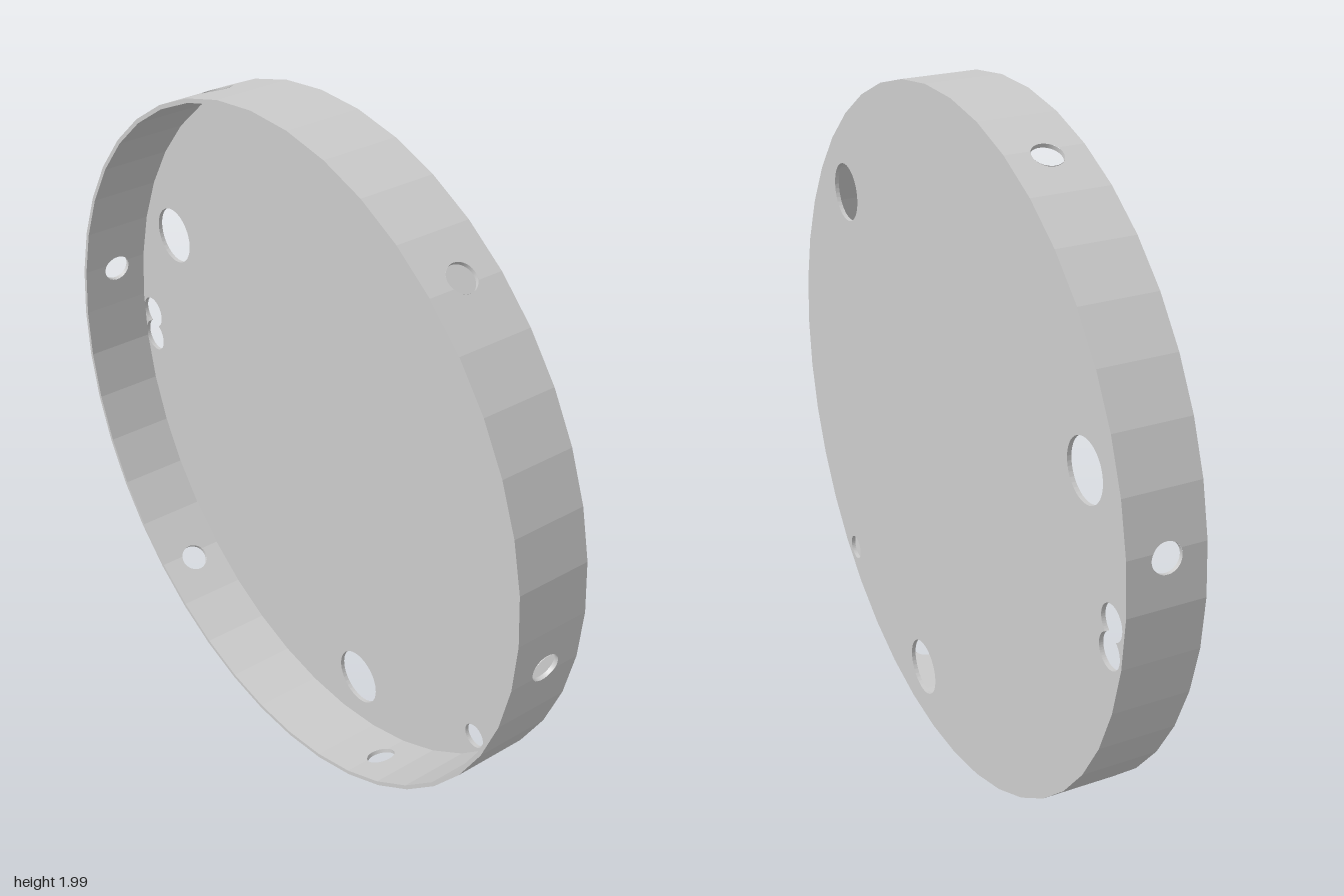
import * as THREE from 'three';
import { mergeGeometries } from 'three/addons/utils/BufferGeometryUtils.js';

const SIDES = 42;                       // facets of the round outline
const STEP = (Math.PI * 2) / SIDES;
const APOTHEM = Math.cos(STEP / 2);
const W = 2 * Math.sin(STEP / 2);       // facet width
const T = 0.012;                        // sheet thickness
const D = 0.11;                         // half depth
const R = 0.042;                        // rim hole radius
const HOLE_ANGLE = THREE.MathUtils.degToRad(52.5);

function circle(x, y, r) {
  return new THREE.Path().absarc(x, y, r, 0, Math.PI * 2, false);
}

// Outline of two overlapping circles of equal radius
function doubleCircle(x1, y1, x2, y2, r) {
  const dir = Math.atan2(y2 - y1, x2 - x1);
  const h = Math.acos(Math.hypot(x2 - x1, y2 - y1) / 2 / r);
  const p = new THREE.Path();
  p.absarc(x1, y1, r, dir + h, dir + Math.PI * 2 - h, false);
  p.absarc(x2, y2, r, dir + Math.PI + h, dir + Math.PI * 3 - h, false);
  return p;
}

// One flat rim facet; a rim hole straddles the edge between facets 5 and 6 of each seven
function facetShape(k) {
  const lo = -D + T, hi = D, w = W / 2;
  const off = APOTHEM * (Math.tan(HOLE_ANGLE - 6.5 * STEP) + Math.tan(STEP / 2));
  const a = Math.acos(off / R);
  const s = new THREE.Shape();
  s.moveTo(-w, lo);
  s.lineTo(w, lo);
  if (k === 5) s.absarc(w + off, 0, R, Math.PI + a, Math.PI - a, true);
  s.lineTo(w, hi);
  s.lineTo(-w, hi);
  if (k === 6) s.absarc(-w + off, 0, R, Math.PI - a, a - Math.PI, true);
  return s;
}

// Stand the facet up at its angle; scale < 1 gives the inner skin, facing the axis
function facetGeometry(i, scale) {
  const g = new THREE.ShapeGeometry(facetShape(i % 7), 20);
  const p = g.attributes.position;
  for (let n = 0; n < p.count; n++) {
    p.setXYZ(n, APOTHEM * scale, p.getX(n) * scale, p.getY(n));
  }
  if (scale < 1) g.index.array.reverse();
  g.rotateZ((i + 0.5) * STEP);
  const flat = g.toNonIndexed();
  flat.computeVertexNormals();
  return flat;
}

export function createModel() {
  const group = new THREE.Group();
  const mat = new THREE.MeshStandardMaterial({ color: 0xcccccc });
  const thin = new THREE.MeshStandardMaterial({ color: 0xcccccc, side: THREE.DoubleSide });
  const add = (name, geometry, material = mat) => {
    const m = new THREE.Mesh(geometry, material);
    m.name = name;
    group.add(m);
    return m;
  };

  // Back plate with its through holes
  const disc = new THREE.Shape();
  for (let i = 0; i < SIDES; i++) {
    const x = Math.cos(i * STEP), y = Math.sin(i * STEP);
    i ? disc.lineTo(x, y) : disc.moveTo(x, y);
  }
  disc.holes.push(
    circle(0.64, 0.54, 0.085),
    circle(-0.79, 0.29, 0.085),
    circle(0.143, -0.823, 0.085),
    circle(0.66, -0.67, 0.037),
    doubleCircle(-0.937, -0.045, -0.932, -0.128, 0.049),
  );
  const plate = new THREE.ExtrudeGeometry(disc, { depth: T, bevelEnabled: false, curveSegments: 20 });
  add('backPlate', plate).position.z = -D;

  // Rim wall: outer and inner skins
  const skins = [];
  for (let i = 0; i < SIDES; i++) skins.push(facetGeometry(i, 1), facetGeometry(i, 1 - T));
  add('rimWall', mergeGeometries(skins));

  // Front lip closing the two skins
  add('rimLip', new THREE.RingGeometry(1 - T, 1, SIDES, 1)).position.z = D;

  // Edges of the six radial rim holes
  for (let i = 0; i < 6; i++) {
    const g = new THREE.CylinderGeometry(R, R, T, 40, 1, true);
    g.rotateZ(-Math.PI / 2);
    g.translate(0.9985 - T / 2, 0, 0);
    g.rotateZ(HOLE_ANGLE + (i * Math.PI) / 3);
    add('rimHoleEdge', g, thin);
  }

  // Rest the lowest facet on the ground
  group.children.forEach((m) => { m.position.y = APOTHEM; });
  group.name = 'roundCover';
  return group;
}
